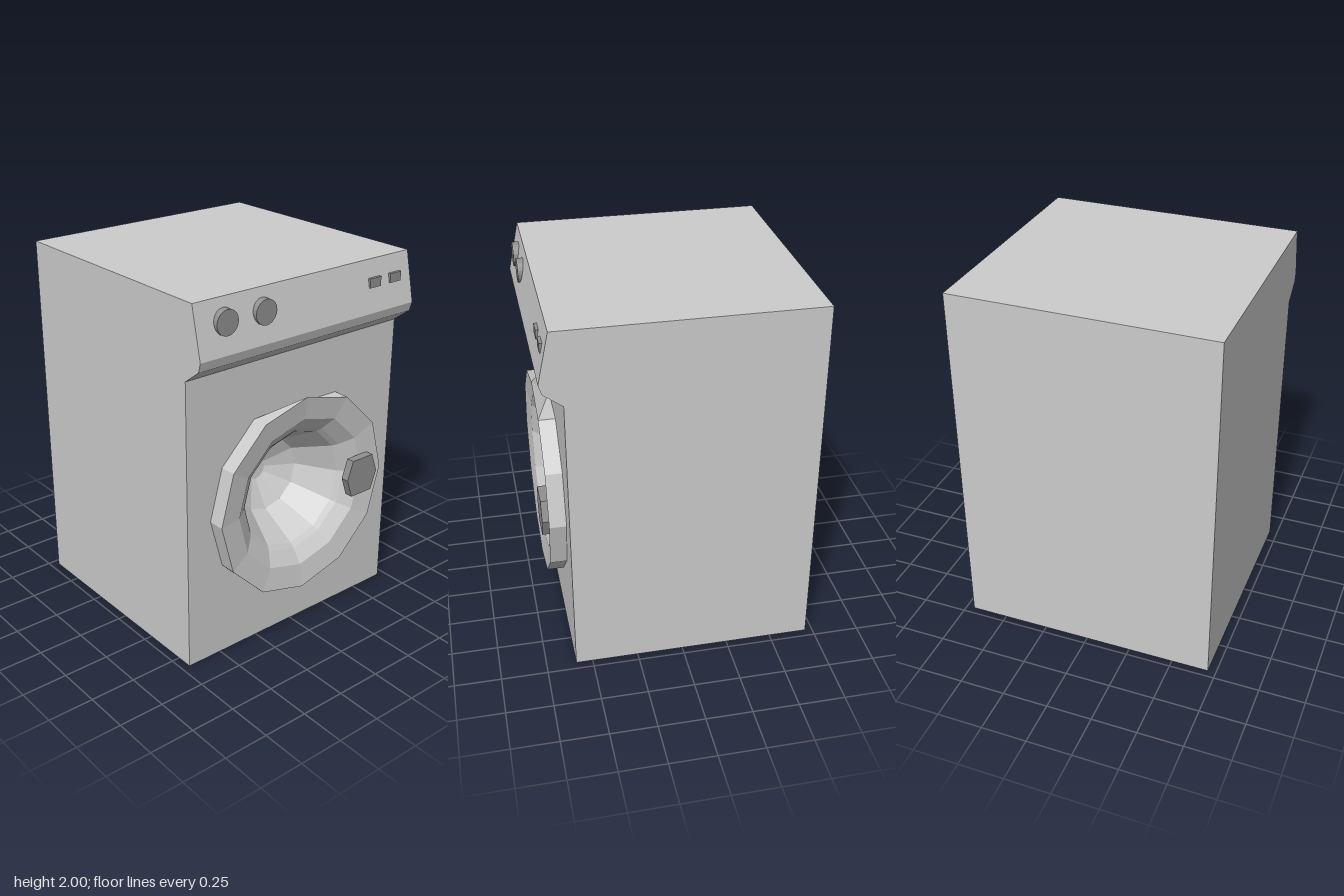
import * as THREE from 'three';

const material = (name, color) => {
  const m = new THREE.MeshStandardMaterial({ color, flatShading: true });
  m.name = name;
  return m;
};

export function createModel() {
  const washer = new THREE.Group();
  washer.name = 'washingMachine';
  const enamel = material('light grey enamel', 0xcccccc);
  const trim = material('mid grey trim', 0x919191);

  const add = (name, geometry, mat, x = 0, y = 0, z = 0) => {
    const mesh = new THREE.Mesh(geometry, mat);
    mesh.name = name;
    mesh.position.set(x, y, z);
    washer.add(mesh);
    return mesh;
  };
  const polygon = (points) => new THREE.Shape(points.map(([x, y]) => new THREE.Vector2(x, y)));

  const halfWidth = 0.705, frontZ = 0.59, lip = 1.605, doorY = 0.81;

  // Cabinet: side profile (z, y) with the overhanging control console
  const profile = polygon([
    [-0.71, 0], [frontZ, 0], [frontZ, lip], [0.69, 1.68], [0.705, 1.73], [0.647, 2], [-0.71, 2],
  ]);
  const shell = new THREE.ExtrudeGeometry(profile, { depth: 2 * halfWidth, bevelEnabled: false });
  shell.translate(0, 0, -halfWidth).rotateY(-Math.PI / 2);

  // Leave the lower front open, so that the front panel can carry the door hole
  const p = shell.attributes.position;
  const kept = [];
  for (let i = 0; i < p.count; i += 3) {
    const onFront = [0, 1, 2].every((k) => Math.abs(p.getZ(i + k) - frontZ) < 1e-4);
    if (!onFront) kept.push(i, i + 1, i + 2);
  }
  shell.setIndex(kept);
  shell.clearGroups();
  add('cabinet', shell, enamel);

  // Front panel with a twelve-sided opening
  const panel = polygon([[-halfWidth, 0], [halfWidth, 0], [halfWidth, lip], [-halfWidth, lip]]);
  const hole = [];
  for (let i = 0; i < 12; i++) {
    const a = (i * Math.PI) / 6;
    hole.push(new THREE.Vector2(0.46 * Math.sin(a), doorY + 0.46 * Math.cos(a)));
  }
  panel.holes.push(new THREE.Path(hole));
  add('frontPanel', new THREE.ShapeGeometry(panel), enamel, 0, 0, frontZ);

  // Faceted rings turned around the z axis
  const turned = (points) => new THREE.LatheGeometry(
    points.map(([r, z]) => new THREE.Vector2(r, z)), 12).rotateX(Math.PI / 2);

  // Door rim, chamfered at its topmost rear corner
  const rim = turned([[0.56, frontZ], [0.56, 0.68], [0.43, 0.66], [0.355, 0.605]]);
  const rp = rim.attributes.position;
  for (let i = 0; i < rp.count; i++) {
    if (rp.getY(i) > 0.55 && rp.getZ(i) < 0.6) rp.setY(i, 0.49);
  }
  add('doorRim', rim, enamel, 0, doorY);

  // Concave door bowl
  add('doorBowl', turned([[0.355, 0.605], [0.33, 0.58], [0.21, 0.37], [0.06, 0.285], [0, 0.28]]),
    enamel, 0, doorY);

  // Door handle
  const handle = polygon([
    [0.285, 0.81], [0.32, 0.705], [0.465, 0.705], [0.503, 0.81], [0.465, 0.917], [0.32, 0.917],
  ]);
  add('doorHandle', new THREE.ExtrudeGeometry(handle, { depth: 0.045, bevelEnabled: false }),
    trim, 0, 0, 0.665);

  // Console controls
  for (const x of [-0.535, -0.3]) {
    add('knob', new THREE.CylinderGeometry(0.065, 0.065, 0.055, 20).rotateX(Math.PI / 2),
      trim, x, 1.885, 0.667);
  }
  for (const x of [0.442, 0.588]) {
    add('button', new THREE.BoxGeometry(0.078, 0.05, 0.04), trim, x, 1.882, 0.663);
  }
  return washer;
}
